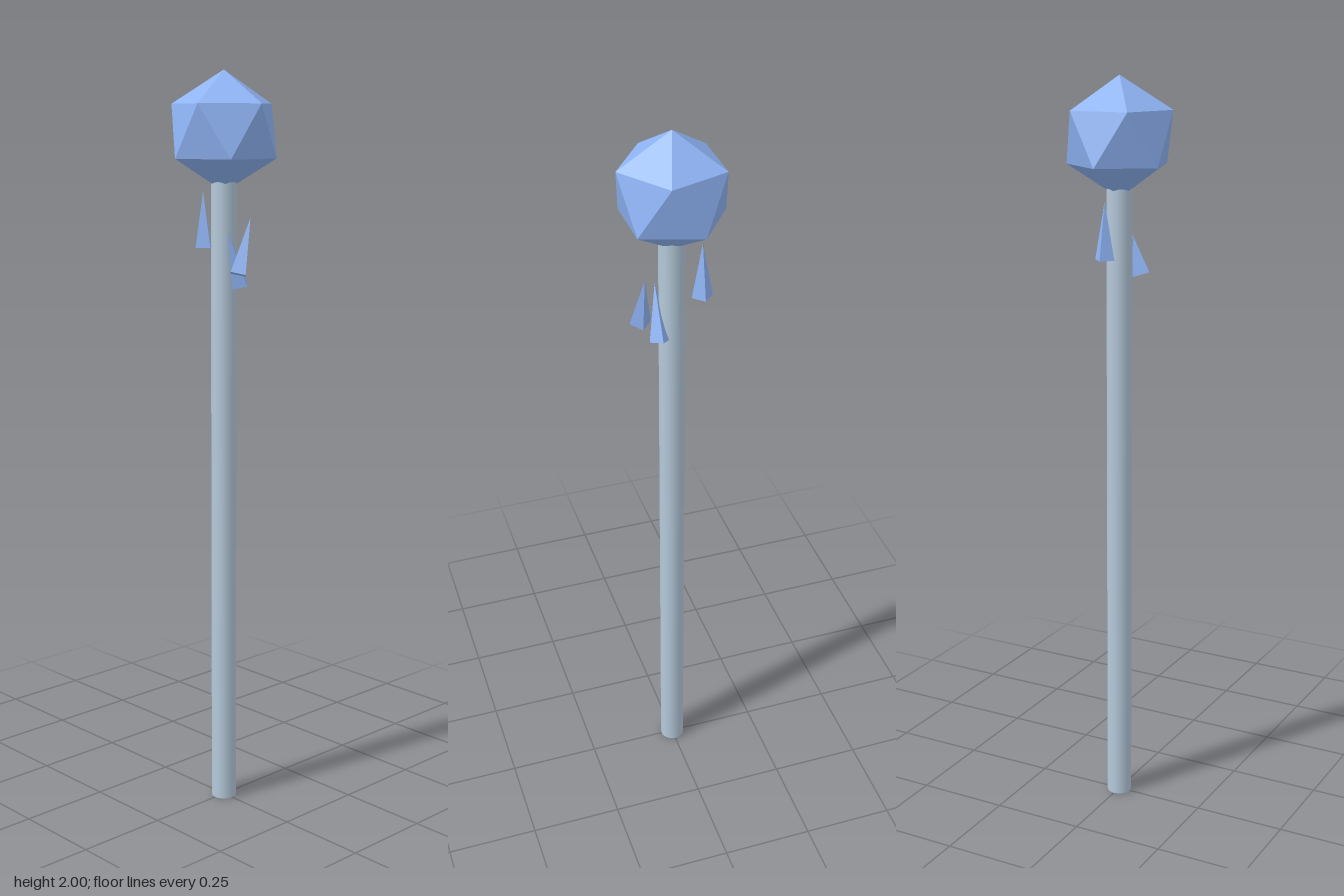
import * as THREE from 'three';

export function createModel() {
  const model = new THREE.Group();
  const crystalMat = new THREE.MeshStandardMaterial({ color: 0x8fb4f5, flatShading: true });
  const poleMat = new THREE.MeshStandardMaterial({ color: 0xb4c8da });

  const add = (name, geometry, material, x, y, z) => {
    const mesh = new THREE.Mesh(geometry, material);
    mesh.name = name;
    mesh.position.set(x, y, z);
    model.add(mesh);
    return mesh;
  };

  // Round shaft, its top hidden inside the crystal
  const poleTop = 1.75;
  add('shaft', new THREE.CylinderGeometry(0.034, 0.034, poleTop, 16), poleMat, 0, poleTop / 2, 0);

  // Icosahedral head crystal, turned to stand on a vertex
  const radius = 0.155;
  const golden = (1 + Math.sqrt(5)) / 2;
  const head = new THREE.IcosahedronGeometry(radius, 0).rotateZ(-Math.atan(1 / golden));
  add('headCrystal', head, crystalMat, 0, 2 - radius, 0);

  // Floating four-sided shards: x, y and forward tilt
  const shard = new THREE.ConeGeometry(0.028, 0.15, 4);
  [
    [-0.08, 1.615, 0],
    [0.077, 1.553, -0.3],
    [0.038, 1.517, 0.3],
  ].forEach(([x, y, tilt], i) => {
    add(`shard${i + 1}`, shard, crystalMat, x, y, 0).rotation.x = tilt;
  });

  return model;
}
